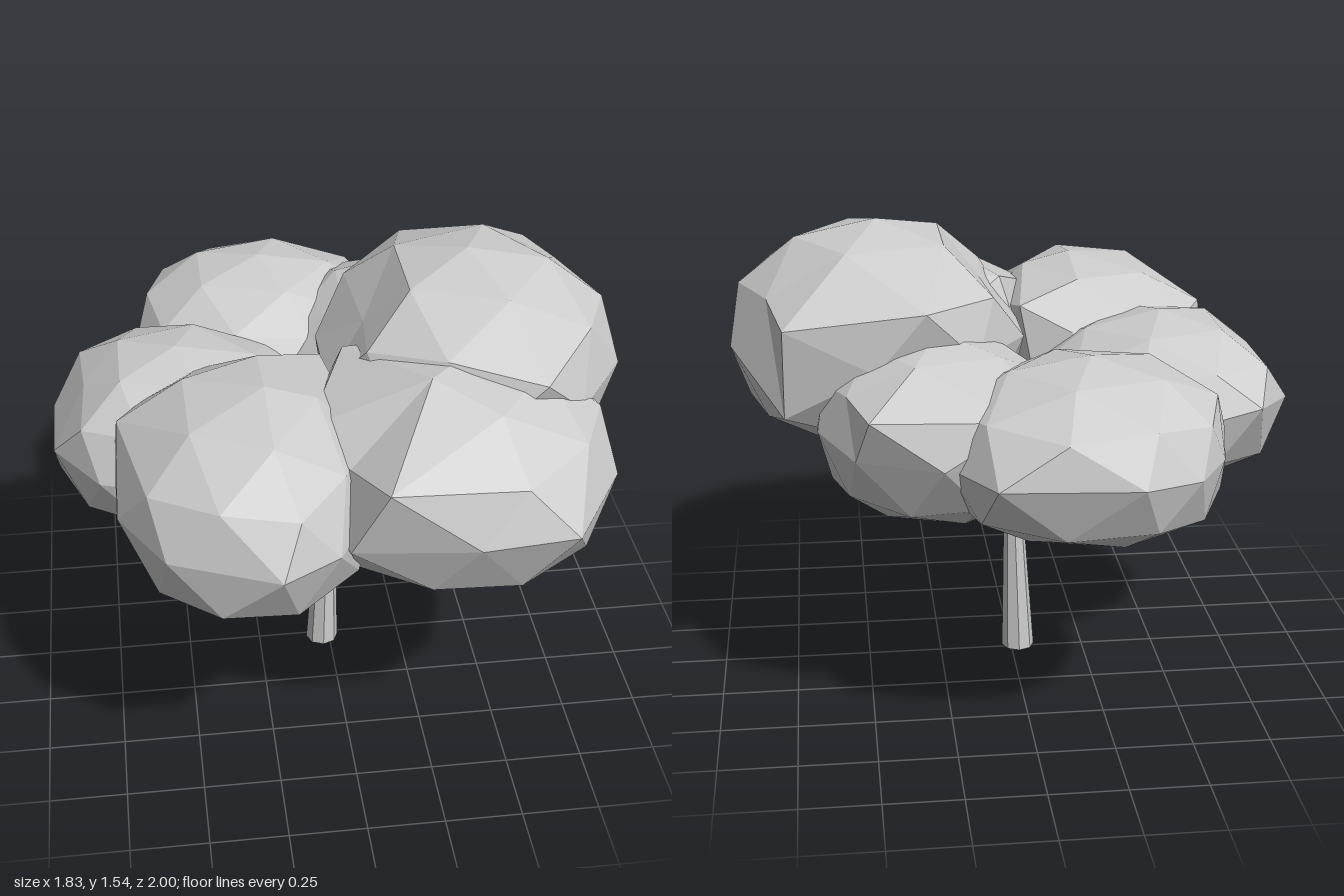
import * as THREE from 'three';

const clay = new THREE.MeshStandardMaterial({ color: 0xcccccc, flatShading: true });
clay.name = 'pale grey';

// Faceted ellipsoid with a fuller underside; each pull drags the nearest corner to a point
function clumpGeometry([cx, cy, cz], [rx, ry, rz], pulls) {
  const g = new THREE.IcosahedronGeometry(1, 1);
  g.rotateX(-Math.atan((1 + Math.sqrt(5)) / 2));
  g.rotateY(Math.PI / 2);
  const p = g.attributes.position;
  const pts = [];
  for (let i = 0; i < p.count; i++) {
    const y = Math.abs(p.getY(i)) < 1e-4 ? 0 : p.getY(i);
    const full = y < 0 ? -Math.pow(-y, 0.8) : y;
    pts.push(new THREE.Vector3(cx + p.getX(i) * rx, cy + full * ry, cz + p.getZ(i) * rz));
  }
  for (const pull of pulls) {
    const target = new THREE.Vector3(...pull);
    const grab = pts.reduce((a, b) => (b.distanceTo(target) < a.distanceTo(target) ? b : a)).clone();
    const move = target.sub(grab);
    for (const v of pts) v.addScaledVector(move, Math.exp(-((v.distanceTo(grab) / 0.17) ** 2)));
  }
  pts.forEach((v, i) => p.setXYZ(i, v.x, v.y, v.z));
  g.computeVertexNormals();
  return g;
}

// Tapered limb between two points
function limb(name, from, to, r0, r1, sides) {
  const a = new THREE.Vector3(...from), b = new THREE.Vector3(...to);
  const dir = b.clone().sub(a);
  const mesh = new THREE.Mesh(new THREE.CylinderGeometry(r1, r0, dir.length(), sides), clay);
  mesh.position.copy(a).add(b).multiplyScalar(0.5);
  mesh.quaternion.setFromUnitVectors(new THREE.Vector3(0, 1, 0), dir.normalize());
  mesh.name = name;
  return mesh;
}

export function createModel() {
  const tree = new THREE.Group();
  tree.name = 'tree';

  // Trunk, leaning slightly, standing on a flat base
  const trunkGeo = new THREE.CylinderGeometry(0.03, 0.056, 0.6, 8);
  trunkGeo.translate(0, 0.3, 0);
  const p = trunkGeo.attributes.position;
  for (let i = 0; i < p.count; i++) p.setX(i, p.getX(i) + p.getY(i) * 0.03);
  const trunk = new THREE.Mesh(trunkGeo, clay);
  trunk.position.set(-0.025, 0, 0.018);
  trunk.name = 'trunk';
  tree.add(trunk);

  // Branches: start, end, base radius
  const branches = [
    [[-0.008, 0.56, 0.018], [0.05, 0.95, 0.02], 0.027],
    [[0.0, 0.5, 0.03], [0.17, 0.8, 0.18], 0.019],
    [[-0.015, 0.56, 0.03], [-0.2, 0.8, 0.24], 0.019],
    [[-0.02, 0.56, 0.015], [-0.3, 0.78, 0.0], 0.019],
    [[-0.01, 0.52, 0.005], [-0.1, 0.8, -0.28], 0.019],
    [[0.0, 0.46, 0.01], [0.2, 0.79, -0.26], 0.019],
  ];
  branches.forEach(([a, b, r]) => tree.add(limb('branch', a, b, r, r * 0.6, 6)));

  // Foliage clumps: name, centre, radii, pulled corners
  const clumps = [
    ['upperClump', [0.44, 1.18, 0.05], [0.505, 0.365, 0.5],
      [[0.3, 1.36, -0.47], [0.75, 1.36, -0.45], [0.6, 1.32, 0.56], [0.75, 1.03, -0.43], [0.1, 1.33, 0.1]]],
    ['frontLeftClump', [0.36, 1.0, 0.42], [0.5, 0.35, 0.5],
      [[0.08, 1.21, 0.91], [0.64, 1.0, 0.9], [-0.04, 0.98, 0.86], [0.25, 1.37, 0.55], [-0.12, 1.2, 0.5], [0.02, 1.3, 0.2]]],
    ['frontRightClump', [-0.32, 0.99, 0.47], [0.41, 0.335, 0.52],
      [[-0.25, 0.99, 1.0], [-0.7, 1.16, 0.33], [-0.58, 1.0, 0.87], [-0.25, 1.32, 0.45], [-0.04, 1.22, 0.1], [-0.04, 0.74, 0.6]]],
    ['rightClump', [-0.5, 0.94, 0.0], [0.45, 0.285, 0.43],
      [[-0.8, 1.1, 0.0], [-0.76, 1.0, -0.41], [-0.03, 1.02, -0.06]]],
    ['backRightClump', [-0.18, 0.96, -0.57], [0.48, 0.29, 0.42],
      [[-0.28, 0.97, -1.0], [0.14, 0.96, -0.94], [-0.56, 0.97, -0.76], [-0.08, 1.0, -0.14]]],
    ['backLeftClump', [0.27, 0.97, -0.33], [0.4, 0.3, 0.43],
      [[0.04, 1.1, -0.74], [0.5, 1.12, -0.76], [0.65, 1.0, -0.47], [-0.08, 1.03, -0.1]]],
  ];
  for (const [name, centre, radii, pulls] of clumps) {
    const clump = new THREE.Mesh(clumpGeometry(centre, radii, pulls), clay);
    clump.name = name;
    tree.add(clump);
  }
  return tree;
}
